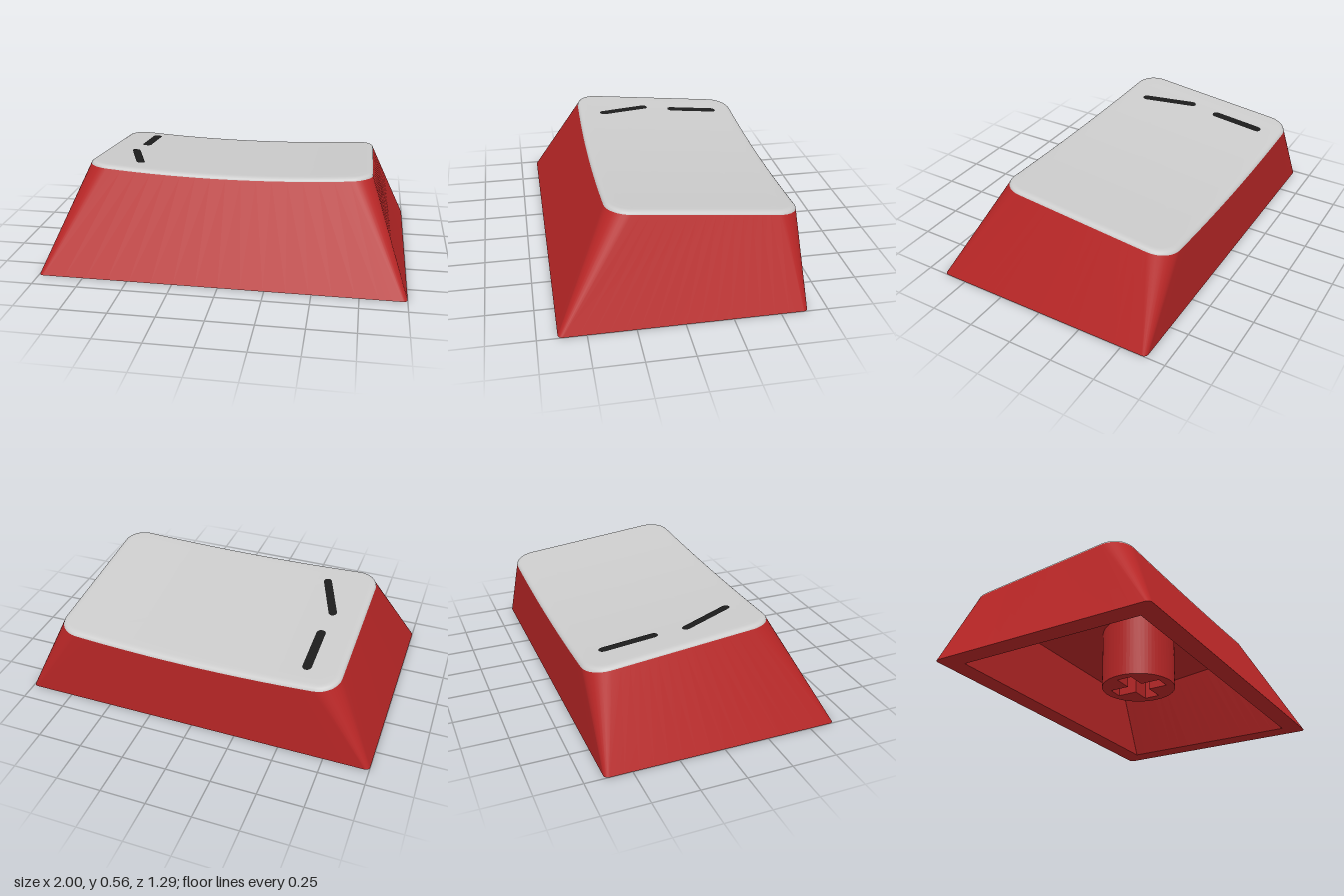
import * as THREE from 'three';

const HALF_X = 1, HALF_Z = 0.645;
const TOP_X = 0.79, TOP_FRONT = 0.36;

const red = new THREE.MeshStandardMaterial({ color: 0xb82626 });
const redFlat = new THREE.MeshStandardMaterial({ color: 0xb82626, flatShading: true });
const grey = new THREE.MeshStandardMaterial({ color: 0xcccccc });
const black = new THREE.MeshStandardMaterial({ color: 0x1c1c1c });

// Dished, backward-sloping top surface
const sag = (x) => 0.033 * (1 - (x / TOP_X) ** 2);
const topHeight = (x, z) => 0.536 + 0.1 * z - sag(x);
const ceilingHeight = (x, z) => 0.43 + 0.1 * z;

// Rounded rectangle in x and z; every outline has matching point counts
function outline(hx, zBack, zFront, r, cornerSegs = 8, sideSegs = 16) {
  const centres = [[hx - r, zFront - r], [r - hx, zFront - r], [r - hx, zBack + r], [hx - r, zBack + r]];
  const pts = [];
  centres.forEach(([cx, cz], k) => {
    for (let i = 0; i <= cornerSegs; i++) {
      const a = (k + i / cornerSegs) * Math.PI / 2;
      pts.push([cx + r * Math.cos(a), cz + r * Math.sin(a)]);
    }
    const [x0, z0] = pts[pts.length - 1];
    const a = (k + 1) * Math.PI / 2, [nx, nz] = centres[(k + 1) % 4];
    const x1 = nx + r * Math.cos(a), z1 = nz + r * Math.sin(a);
    for (let i = 1; i < sideSegs; i++) {
      const t = i / sideSegs;
      pts.push([x0 + (x1 - x0) * t, z0 + (z1 - z0) * t]);
    }
  });
  return pts;
}

// Lift an outline to a height, given as a number or a function of x and z
const ring = (pts, y) => pts.map(([x, z]) => [x, typeof y === 'function' ? y(x, z) : y, z]);

// Outline on the top surface: inset from the rim and lowered by drop
function topRing(inset, drop) {
  const pts = outline(TOP_X - inset, -HALF_Z + inset, TOP_FRONT - inset, 0.12 - inset);
  return pts.map(([x, z]) => {
    const zz = z + 0.5 * sag(x) * (z + HALF_Z); // keeps the front wall flat
    return [x, topHeight(x, zz) - drop, zz];
  });
}

// Skin a sequence of rings
function loft(rings) {
  const n = rings[0].length, index = [];
  for (let k = 0; k < rings.length - 1; k++) {
    for (let j = 0; j < n; j++) {
      const a = k * n + j, b = k * n + (j + 1) % n;
      index.push(a, a + n, b, b, a + n, b + n);
    }
  }
  const geo = new THREE.BufferGeometry();
  geo.setAttribute('position', new THREE.Float32BufferAttribute(rings.flat(2), 3));
  geo.setIndex(index);
  geo.computeVertexNormals();
  return geo;
}

// Capsule-shaped mark draped over the top surface
function markGeometry(x0, z0, x1, z1, r) {
  const a = Math.atan2(-(z1 - z0), x1 - x0);
  const shape = new THREE.Shape();
  shape.absarc(x1, -z1, r, a - Math.PI / 2, a + Math.PI / 2);
  shape.absarc(x0, -z0, r, a + Math.PI / 2, a + Math.PI * 1.5);
  const geo = new THREE.ShapeGeometry(shape, 10).rotateX(-Math.PI / 2);
  const p = geo.attributes.position;
  for (let i = 0; i < p.count; i++) p.setY(i, topHeight(p.getX(i), p.getZ(i)) + 0.004);
  geo.computeVertexNormals();
  return geo;
}

export function createModel() {
  const group = new THREE.Group();
  const add = (name, geo, mat) => {
    const mesh = new THREE.Mesh(geo, mat);
    mesh.name = name;
    group.add(mesh);
    return mesh;
  };

  // Outer walls
  const base = outline(HALF_X, -HALF_Z, HALF_Z, 0.025);
  add('outerWalls', loft([ring(base, 0), topRing(0, 0.02)]), red);

  // Bottom lip and hollow inside
  const lip = outline(HALF_X - 0.11, -HALF_Z + 0.11, HALF_Z - 0.11, 0.003);
  const ceiling = outline(0.72, -HALF_Z + 0.11, 0.3, 0.003);
  add('bottomLip', loft([ring(lip, 0), ring(base, 0)]), redFlat);
  add('innerWalls', loft([ring(ceiling, ceilingHeight), ring(lip, 0)]), redFlat);
  const middle = ceiling.map(() => [0, -0.1]);
  add('ceiling', loft([ring(middle, ceilingHeight), ring(ceiling, ceilingHeight)]), redFlat);

  // Dished top with a softly rounded rim
  const rings = [[0, 0.02], [0.003, 0.012], [0.01, 0.006], [0.02, 0.002], [0.035, 0]]
    .map(([inset, drop]) => topRing(inset, drop));
  const edge = rings[rings.length - 1];
  for (let i = 11; i >= 0; i--) {
    const s = i / 12;
    rings.push(edge.map(([x, , z]) => {
      const px = x * s, pz = -0.14 + (z + 0.14) * s;
      return [px, topHeight(px, pz), pz];
    }));
  }
  add('topSurface', loft(rings), grey);

  // Two dark marks
  add('straightMark', markGeometry(-0.598, -0.503, -0.598, -0.235, 0.025), black);
  add('slantedMark', markGeometry(-0.615, -0.055, -0.515, 0.215, 0.023), black);

  // Stem with a cross-shaped socket
  const disc = new THREE.Shape().absarc(0, 0, 0.213, 0, Math.PI * 2);
  const L = 0.16, w = 0.045;
  const cross = [[L, -w], [L, w], [w, w], [w, L], [-w, L], [-w, w], [-L, w], [-L, -w],
    [-w, -w], [-w, -L], [w, -L], [w, -w]].map(([x, y]) => new THREE.Vector2(x, y));
  disc.holes.push(new THREE.Path(cross));
  const stem = new THREE.ExtrudeGeometry(disc, { depth: 0.38, bevelEnabled: false, curveSegments: 32 });
  stem.rotateX(-Math.PI / 2).translate(0, 0.07, 0);
  add('stem', stem, red);

  return group;
}
